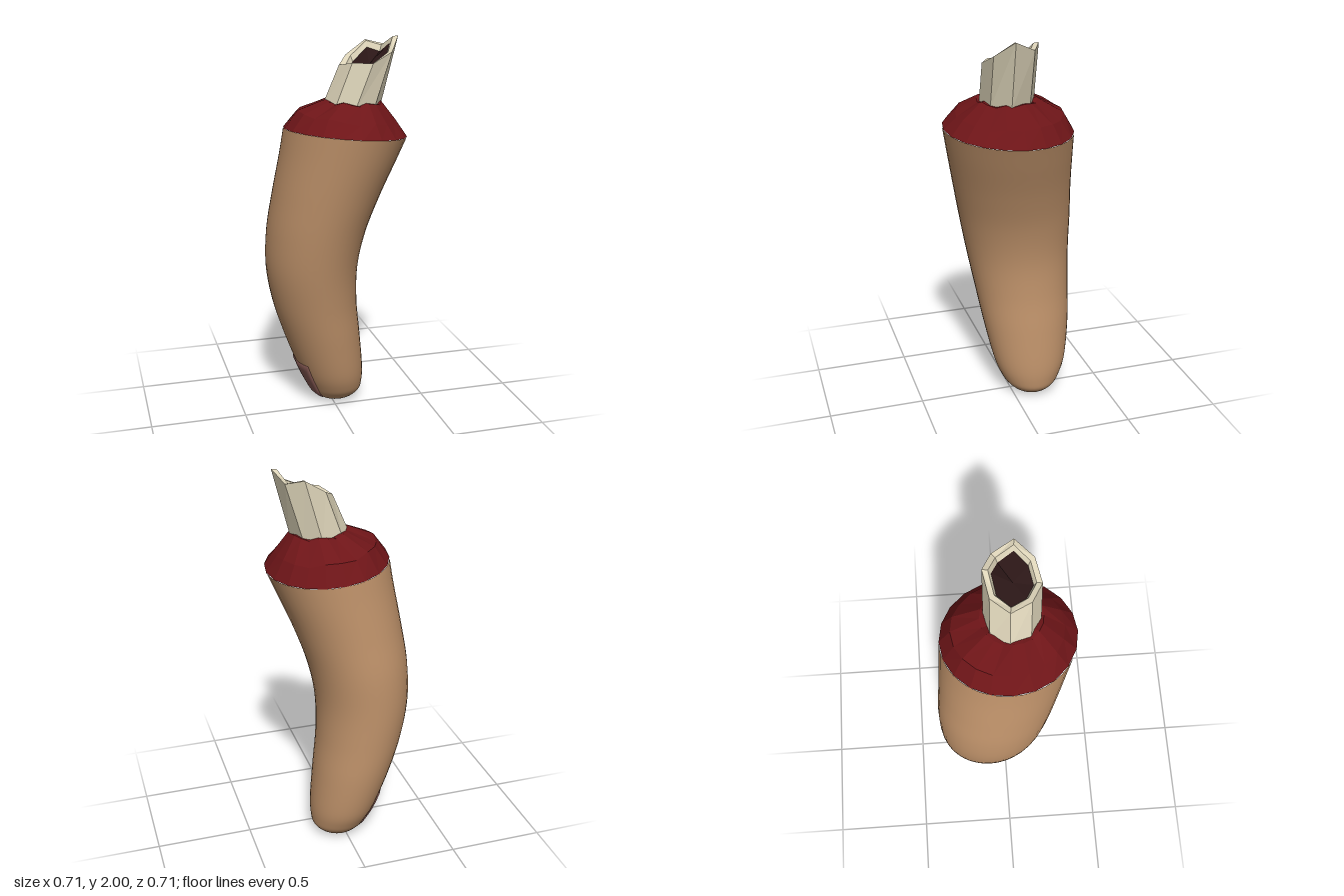
import * as THREE from 'three';

const V = (x, y, z) => new THREE.Vector3(x, y, z);

// Finger cross-sections: y, x min, x max, z min, z max
const sections = [
  [0, 0.03, 0.03, -0.11, -0.11],
  [0.012, -0.05, 0.11, -0.19, -0.035],
  [0.05, -0.1, 0.16, -0.238, 0.015],
  [0.1, -0.13, 0.174, -0.272, 0.05],
  [0.2, -0.178, 0.175, -0.31, 0.088],
  [0.4, -0.255, 0.155, -0.34, 0.13],
  [0.6, -0.318, 0.132, -0.35, 0.165],
  [0.8, -0.353, 0.13, -0.353, 0.203],
  [1.0, -0.35, 0.165, -0.35, 0.243],
  [1.2, -0.322, 0.23, -0.332, 0.285],
  [1.4, -0.287, 0.308, -0.316, 0.328],
  [1.524, -0.268, 0.355, -0.308, 0.354],
];
const spline = (f) => new THREE.CatmullRomCurve3(sections.map(f), false, 'catmullrom', 0.5);
const centres = spline(([y, a, b, c, d]) => V((a + b) / 2, y, (c + d) / 2));
const radii = spline(([y, a, b, c, d]) => V((b - a) / 2, y, (d - c) / 2));

// Point on the finger skin; the upper rim is tilted
function skin(t, angle, offset = 0) {
  const c = centres.getPoint(t), r = radii.getPoint(t);
  const cos = Math.cos(angle), sin = Math.sin(angle);
  const tilt = (0.015 * sin - 0.028 * cos) * Math.pow(Math.max(c.y, 0) / 1.524, 6);
  return V(c.x + (r.x + offset) * cos, c.y + tilt, c.z + (r.z + offset) * sin);
}

const ring = (n, f) => Array.from({ length: n }, (_, i) => f((i / n) * Math.PI * 2, i));

// Skin a list of equal-length rows of points
function loft(name, rows, color, { flat = false, closed = true, side = THREE.FrontSide } = {}) {
  const n = rows[0].length, index = [];
  for (let i = 0; i < rows.length - 1; i++) {
    for (let j = 0; j < (closed ? n : n - 1); j++) {
      const k = (j + 1) % n;
      const a = i * n + j, b = i * n + k, c = a + n, d = b + n;
      index.push(a, c, b, b, c, d);
    }
  }
  const geometry = new THREE.BufferGeometry().setFromPoints(rows.flat());
  geometry.setIndex(index);
  geometry.computeVertexNormals();
  const mesh = new THREE.Mesh(geometry, new THREE.MeshStandardMaterial({ color, flatShading: flat, side }));
  mesh.name = name;
  return mesh;
}

export function createModel() {
  const group = new THREE.Group();
  group.name = 'severedFinger';

  // Smooth curved flesh
  const bodyRows = [];
  for (let i = 0; i <= 66; i++) bodyRows.push(ring(40, (a) => skin(i / 66, a)));
  group.add(loft('fingerSkin', bodyRows, 0xbf926a));

  // Faceted wound: skin rim, sloping shoulder, flat top
  const oval = (cx, y, cz, rx, rz, wave) => ring(20, (a, i) =>
    V(cx + rx * Math.cos(a), y - wave * Math.cos(a) + 0.008 * Math.sin(i * 2.1), cz + rz * Math.sin(a)));
  group.add(loft('wound', [
    ring(20, (a) => skin(1, a)),
    oval(0.05, 1.605, 0.02, 0.25, 0.27, 0.03),
    oval(0.075, 1.68, 0.04, 0.145, 0.15, 0.005),
    oval(0.075, 1.685, 0.04, 0, 0, 0),
  ], 0x6e1518, { flat: true }));

  // Hollow eight-sided bone with a jagged end
  const bone = [
    [0.305, 2.0, 0.065], [0.245, 1.93, 0.155], [0.14, 1.88, 0.183], [0.05, 1.88, 0.13],
    [0.01, 1.86, 0.03], [0.07, 1.9, -0.06], [0.18, 1.97, -0.086], [0.265, 1.95, -0.04],
  ].map((p) => V(...p));
  const middle = V(0.165, 1.92, 0.05);
  const shrink = (s, drop) => bone.map((p) =>
    V(middle.x + (p.x - middle.x) * s, p.y - drop, middle.z + (p.z - middle.z) * s));
  const foot = bone.map((p) => V(p.x - 0.085, 1.66, p.z - 0.006));
  group.add(loft('bone', [foot, bone, shrink(0.8, 0.004), shrink(0.7, 0.035)], 0xdcd3b8, { flat: true }));

  // Dark marrow inside the bone
  group.add(loft('marrow', [shrink(0.71, 0.034), bone.map(() => V(0.16, 1.86, 0.05))], 0x2a1616, { flat: true }));

  // Nail: raised patch on the right side of the tip, its border sunk into the skin
  const nailRows = [];
  const rowCount = 14, columnCount = 12;
  for (let i = 0; i <= rowCount; i++) {
    const v = THREE.MathUtils.clamp((i - 1) / (rowCount - 2), 0, 1);
    const row = [];
    for (let j = 0; j <= columnCount; j++) {
      const u = THREE.MathUtils.clamp((j - 1) / (columnCount - 2), 0, 1);
      const edge = i === 0 || j === 0 || i === rowCount || j === columnCount;
      row.push(skin(0.14 + v * 0.25, Math.PI + (u - 0.5) * 1.35, edge ? -0.012 : 0.007));
    }
    nailRows.push(row);
  }
  group.add(loft('nail', nailRows, 0x8a5c56, { closed: false, side: THREE.DoubleSide }));

  return group;
}
